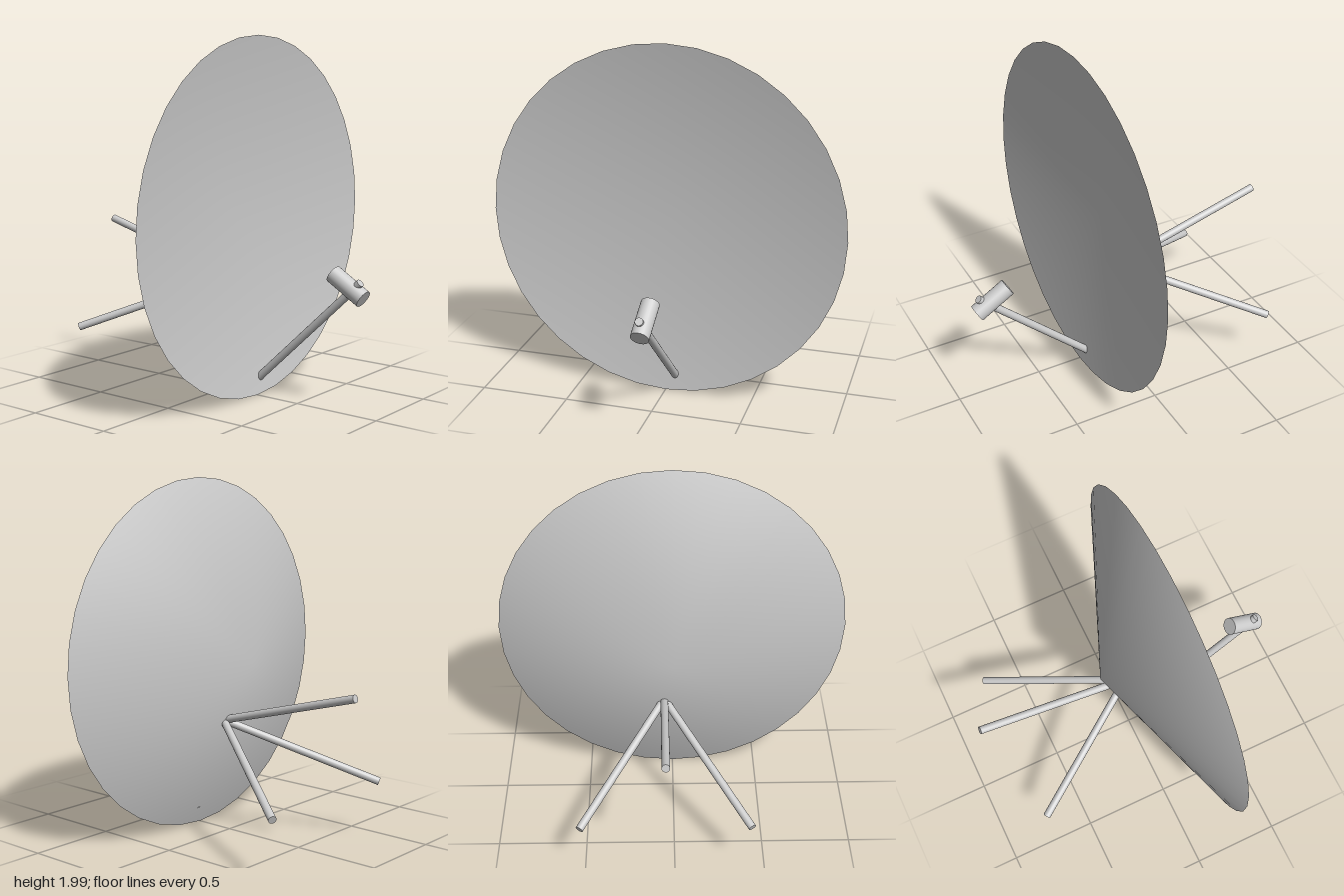
import * as THREE from 'three';
import { mergeVertices } from 'three/addons/utils/BufferGeometryUtils.js';

const material = new THREE.MeshStandardMaterial({ color: 0xcccccc });
const RIM_Z = 0.23;

// Closed round bar between two points
function bar(name, from, to, radius, sides = 20) {
  const a = new THREE.Vector3(...from);
  const b = new THREE.Vector3(...to);
  const dir = b.clone().sub(a);
  const mesh = new THREE.Mesh(new THREE.CylinderGeometry(radius, radius, dir.length(), sides), material);
  mesh.name = name;
  mesh.position.copy(a).add(b).multiplyScalar(0.5);
  mesh.quaternion.setFromUnitVectors(new THREE.Vector3(0, 1, 0), dir.normalize());
  return mesh;
}

// Open cone from the rim back to its apex, smooth over the apex.
// facing -1 shows the outside (rear), +1 the inside (front)
function dishSurface(name, depth, facing) {
  let geometry = new THREE.ConeGeometry(0.997, -facing * depth, 36, 1, true);
  geometry.rotateX(facing * Math.PI / 2);
  geometry.deleteAttribute('normal');
  geometry.deleteAttribute('uv');
  geometry = mergeVertices(geometry);
  geometry.computeVertexNormals();
  const mesh = new THREE.Mesh(geometry, material);
  mesh.name = name;
  mesh.position.set(0, 1, RIM_Z - depth / 2);
  return mesh;
}

export function createModel() {
  const model = new THREE.Group();
  model.name = 'dishAntenna';

  // Dish: steep rear cone closed by a shallow hollow front
  const dish = new THREE.Group();
  dish.name = 'dish';
  dish.add(dishSurface('dishBack', 0.405, -1), dishSurface('dishFront', 0.15, 1));
  model.add(dish);

  // Three mounting struts fanning out from one point behind the dish
  const hub = [0.05, 0.653, 0];
  const struts = new THREE.Group();
  struts.name = 'mountingStruts';
  struts.add(bar('upperStrut', hub, [0.05, 0.897, -0.897], 0.022));
  for (const side of [-1, 1]) {
    const name = side > 0 ? 'leftStrut' : 'rightStrut';
    struts.add(bar(name, hub, [0.05 + side * 0.47, 0.332, -0.737], 0.022));
  }
  model.add(struts);

  // Feed arm runs through the receiver head and shows as a stub above it
  model.add(bar('feedArm', [0.05, 0.09, 0.203], [0.05, 0.709, 0.86], 0.022));
  model.add(bar('receiverHead', [0.057, 0.737, 0.687], [0.057, 0.623, 0.875], 0.05, 24));

  return model;
}
